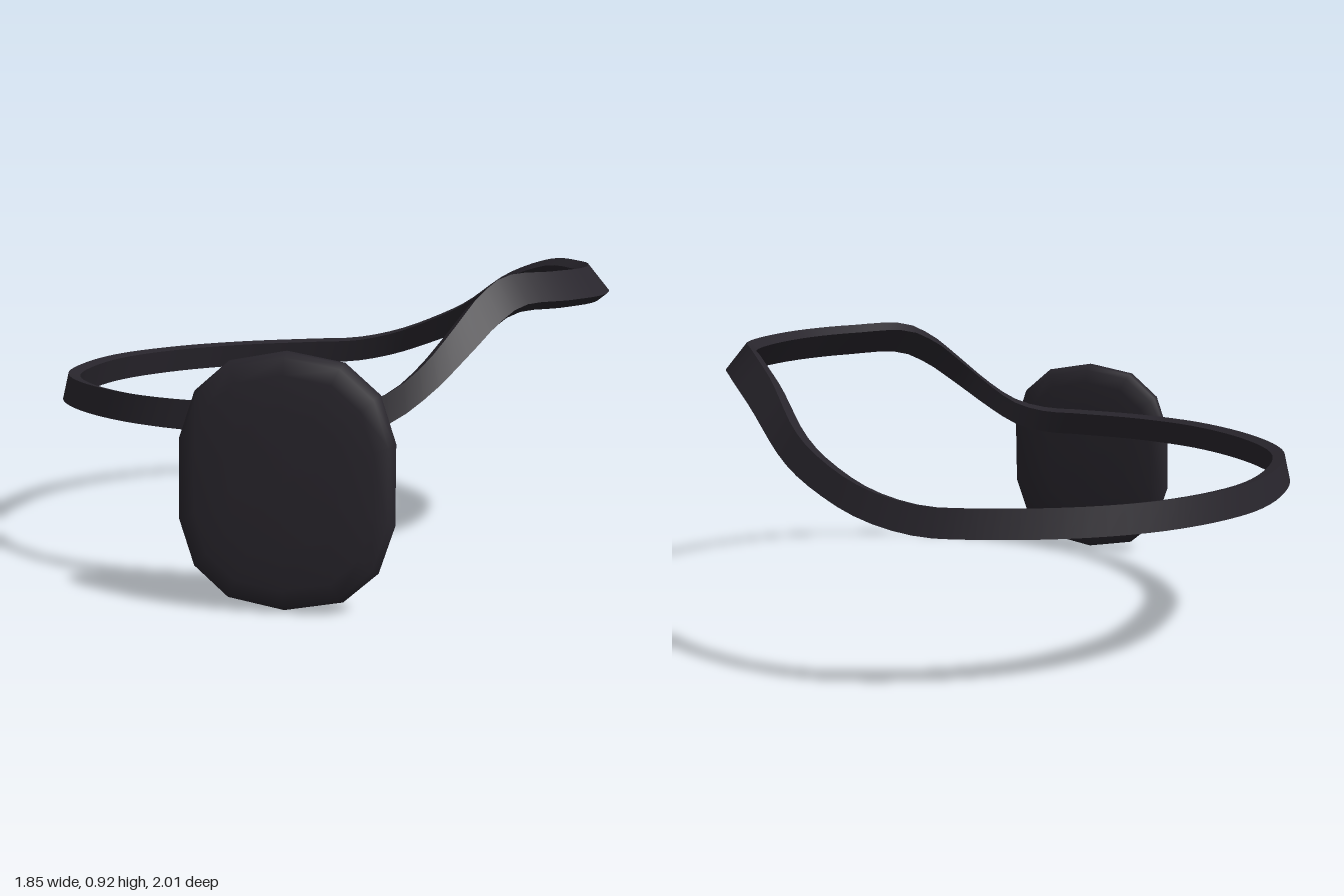
import * as THREE from 'three';

const material = new THREE.MeshStandardMaterial({ color: 0x28252c });

// Skin over rows of points; every row is a closed loop.
function skin(rows) {
  const n = rows[0].length;
  const index = [];
  for (let r = 0; r < rows.length - 1; r++) {
    for (let c = 0; c < n; c++) {
      const a = r * n + c, b = r * n + (c + 1) % n;
      index.push(a, a + n, b, b, a + n, b + n);
    }
  }
  const geometry = new THREE.BufferGeometry().setFromPoints(rows.flat());
  geometry.setIndex(index);
  geometry.computeVertexNormals();
  return geometry;
}

// Lower outer edge of the strap: x, height, z, running from the back round the left side.
const STRAP_EDGE = [
  [0.07, 0.49, -1.0], [0.24, 0.495, -0.98], [0.4, 0.53, -0.92], [0.54, 0.59, -0.82], [0.64, 0.65, -0.71],
  [0.77, 0.775, -0.5], [0.875, 0.84, -0.27], [0.92, 0.84, -0.07], [0.875, 0.84, 0.16],
  [0.77, 0.84, 0.37], [0.61, 0.84, 0.53], [0.43, 0.835, 0.645], [0.34, 0.79, 0.705],
  [0.24, 0.71, 0.765], [0.1, 0.595, 0.82], [-0.02, 0.52, 0.835], [-0.14, 0.49, 0.825],
  [-0.26, 0.487, 0.79], [-0.5, 0.487, 0.67], [-0.71, 0.487, 0.49], [-0.87, 0.487, 0.21],
  [-0.93, 0.487, -0.07], [-0.88, 0.487, -0.34], [-0.74, 0.487, -0.63], [-0.5, 0.487, -0.85],
  [-0.235, 0.488, -0.965],
];

// Rectangular band that leans inward more where it rides high over the ear.
function makeStrap() {
  const curve = new THREE.CatmullRomCurve3(STRAP_EDGE.map(p => new THREE.Vector3(...p)), true);
  const steps = 96, thickness = 0.04;
  const edges = [[], [], [], []];
  for (let i = 0; i < steps; i++) {
    const p = curve.getPointAt(i / steps);
    const t = curve.getTangentAt(i / steps);
    const out = new THREE.Vector3(t.z, 0, -t.x).normalize();
    const rise = THREE.MathUtils.smoothstep(p.y, 0.49, 0.84);
    const lean = THREE.MathUtils.lerp(0.23, 0.68, rise);
    const height = THREE.MathUtils.lerp(0.086, 0.11, rise);
    const s = Math.sin(lean), c = Math.cos(lean);
    const corner = (h, d) => p.clone()
      .addScaledVector(out, -h * s - d * c)
      .add(new THREE.Vector3(0, h * c - d * s, 0));
    edges[0].push(corner(0, 0));
    edges[1].push(corner(height, 0));
    edges[2].push(corner(height, thickness));
    edges[3].push(corner(0, thickness));
  }
  const strap = new THREE.Group();
  strap.name = 'strap';
  ['strapOuterFace', 'strapTopEdge', 'strapInnerFace', 'strapBottomEdge'].forEach((name, k) => {
    const mesh = new THREE.Mesh(skin([edges[k], edges[(k + 1) % 4]]), material);
    mesh.name = name;
    strap.add(mesh);
  });
  return strap;
}

// Flat pad with a rounded-square outline and softly domed faces.
function makePatch() {
  const quarter = [[0.31, 0.115], [0.265, 0.25], [0.165, 0.337]];
  const outline = [
    ...quarter, [0, 0.367],
    ...quarter.map(([x, y]) => [-x, y]).reverse(),
    ...quarter.map(([x, y]) => [-x, -y]), [0, -0.367],
    ...quarter.map(([x, y]) => [x, -y]).reverse(),
  ];
  const front = [[0.001, 0.058], [0.5, 0.056], [0.82, 0.05], [0.95, 0.037], [0.99, 0.018]];
  const profile = [...front, [1, 0], ...front.map(([s, z]) => [s, -z]).reverse()];
  const rows = profile.map(([s, z]) => outline.map(([x, y]) => new THREE.Vector3(x * s, y * s, z)));
  const patch = new THREE.Mesh(skin(rows), material);
  patch.name = 'eyePatch';
  patch.position.set(-0.315, 0.372, 0.862);
  patch.rotation.set(-0.05, -0.36, 0, 'YXZ');
  return patch;
}

export function createModel() {
  const model = new THREE.Group();
  model.name = 'eyePatchWithStrap';
  model.add(makeStrap(), makePatch());
  return model;
}
